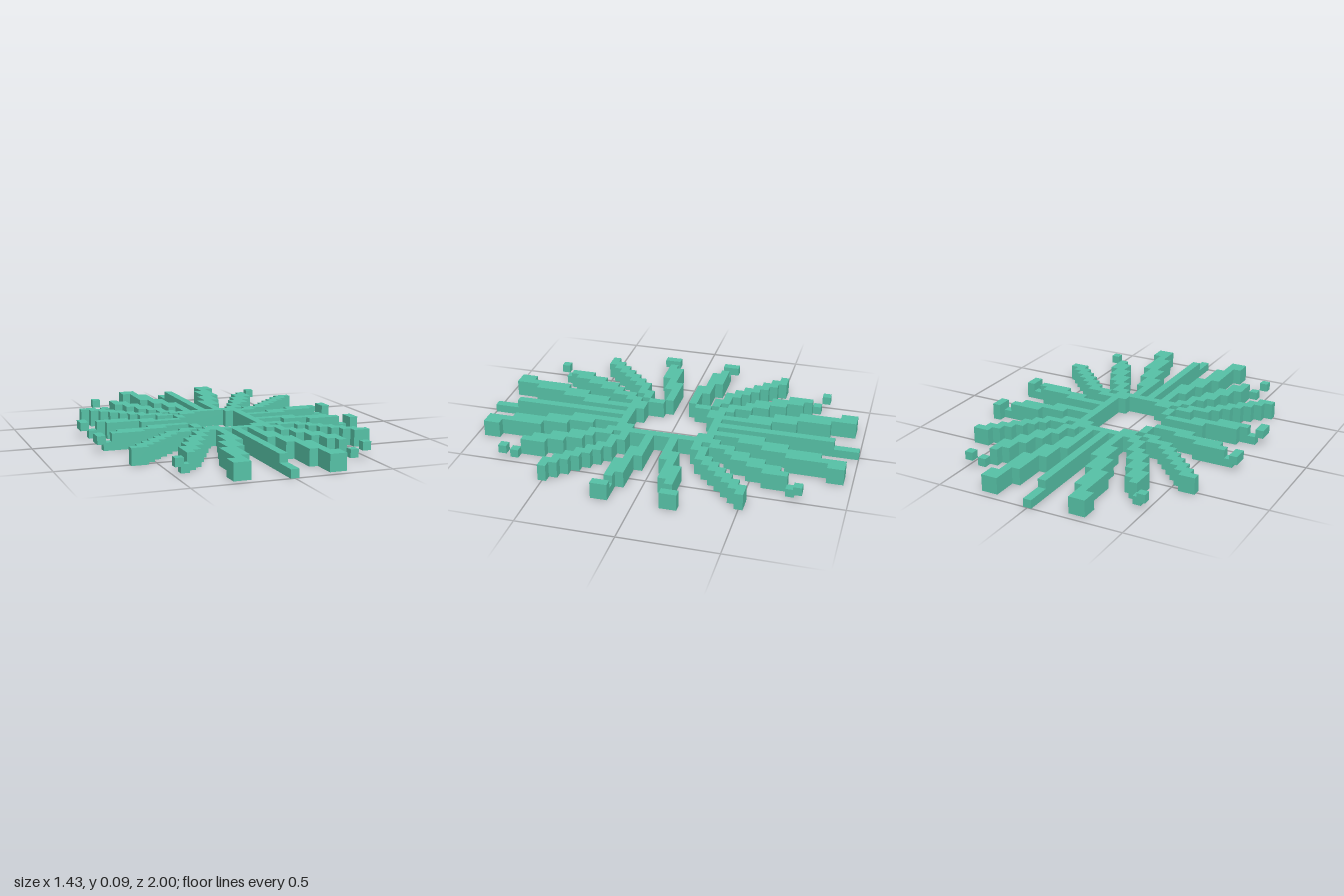
import * as THREE from 'three';
import { mergeGeometries } from 'three/addons/utils/BufferGeometryUtils.js';

const U = 1 / 23; // size of one block

// Each run is [first column, last column, first row, last row, bottom layer, top layer].
const runBox = ([c0, c1, r0, r1, low = 0, high = 1]) => {
  const g = new THREE.BoxGeometry((c1 - c0 + 1) * U, (high - low + 1) * U, (r1 - r0 + 1) * U);
  return g.translate((c0 + c1) / 2 * U, (low + high + 1) / 2 * U, (r0 + r1 + 1) / 2 * U);
};

// Mirror a run to the other side in x (sx) and in z (sz).
const mirrorRun = ([c0, c1, r0, r1, ...layers], sx, sz) => [
  ...(sx > 0 ? [c0, c1] : [-c1, -c0]),
  ...(sz > 0 ? [r0, r1] : [-r1 - 1, -r0 - 1]),
  ...layers,
];

// Spokes of one quarter, from steepest to flattest
const spokes = {
  steepSpoke: [
    [2, 2, 6, 8], [2, 3, 9, 11], [3, 4, 12, 14], [4, 5, 15, 18],
    [5, 5, 19, 19], [5, 6, 20, 21],
  ],
  diagonalSpoke: [
    [4, 5, 6, 6], [5, 5, 7, 7], [5, 6, 8, 8], [6, 7, 9, 10], [7, 8, 11, 12],
    [8, 9, 13, 14], [9, 9, 15, 15], [10, 10, 16, 16, 0, 0], [11, 11, 17, 17, 1, 1],
  ],
  shallowSpoke: [
    [5, 6, 4, 4], [6, 8, 5, 5], [8, 9, 6, 6], [9, 10, 7, 7],
    [10, 11, 8, 8], [11, 12, 9, 9], [12, 13, 10, 10], [13, 14, 11, 11],
  ],
  sideSpoke: [[5, 9, 1, 1], [8, 13, 2, 2], [11, 14, 3, 3], [15, 15, 3, 3, 0, 0]],
};

export function createModel() {
  const model = new THREE.Group();
  const green = new THREE.MeshStandardMaterial({ color: 0x56c1a6 });
  green.name = 'sea green';

  const add = (name, runs) => {
    const mesh = new THREE.Mesh(mergeGeometries(runs.map(runBox)), green);
    mesh.name = name;
    model.add(mesh);
  };

  for (const sz of [1, -1]) {
    const end = sz > 0 ? 'front' : 'back';

    // Straight middle spoke with a lower tip
    add(end + 'MiddleSpoke', [[0, 0, 6, 19], [0, 0, 20, 22, 0, 0]].map(r => mirrorRun(r, 1, sz)));

    // End bar of the central frame
    add(end + 'FrameBar', [[-4, 4, 5, 5], [-3, -2, 4, 4], [3, 4, 4, 4]].map(r => mirrorRun(r, 1, sz)));

    // Broken frame on the right
    add(end + 'FrameStub', [mirrorRun([-4, -4, 2, 3], 1, sz)]);

    for (const sx of [1, -1]) {
      const side = sx > 0 ? 'Left' : 'Right';
      for (const [name, runs] of Object.entries(spokes)) {
        add(`${end}${side}_${name}`, runs.map(r => mirrorRun(r, sx, sz)));
      }
      // Hooked tip of the side spoke, raised on the right
      add(`${end}${side}_sideTip`, [mirrorRun([16, 16, 3, 4, sx > 0 ? 0 : 1, 1], sx, sz)]);
    }
  }

  // Closed side of the central frame
  add('leftFrameBar', [[4, 4, -4, 3]]);

  return model;
}
